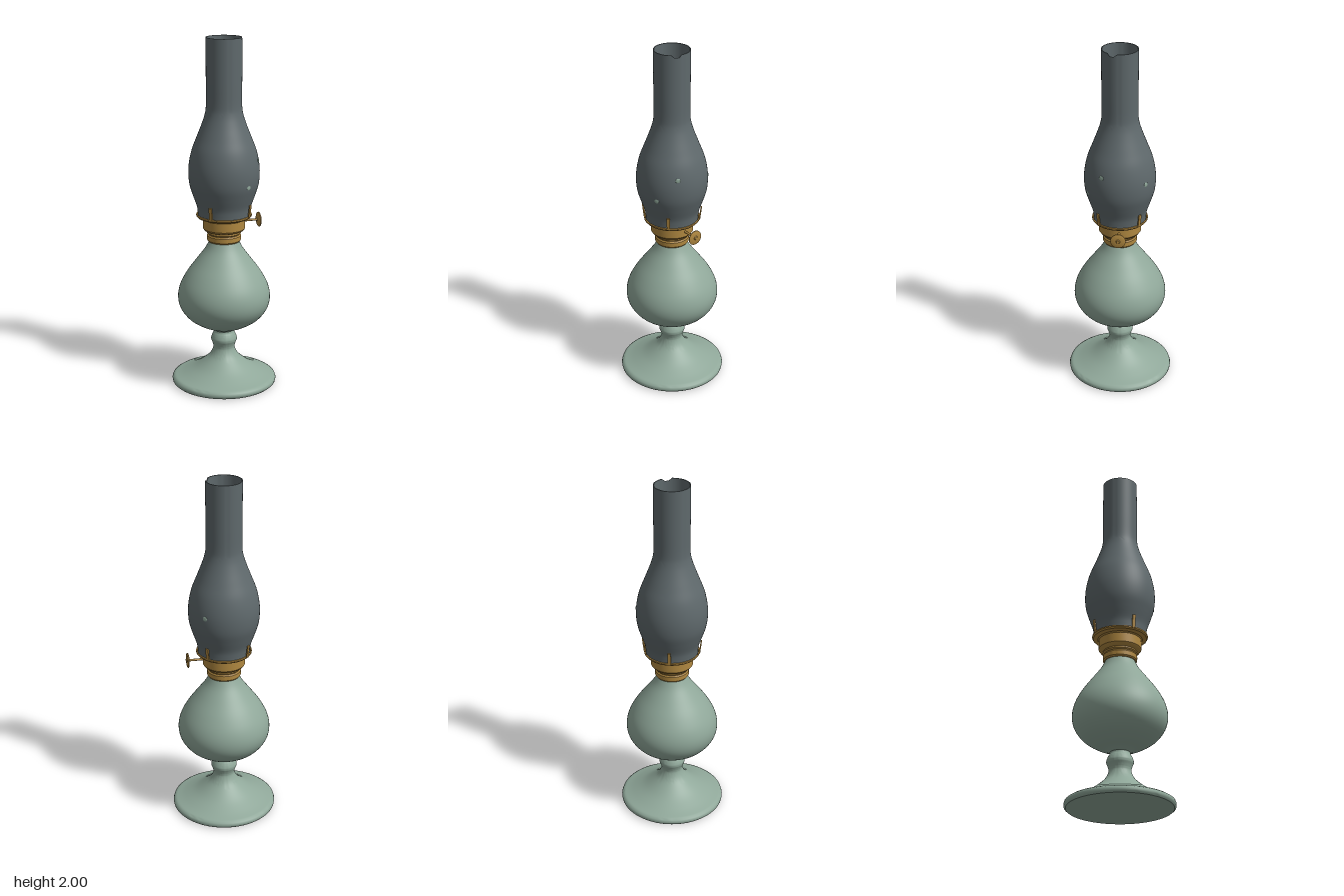
import * as THREE from 'three';
import { toCreasedNormals } from 'three/addons/utils/BufferGeometryUtils.js';

const mat = (name, color, side = THREE.FrontSide) => {
  const m = new THREE.MeshStandardMaterial({ color, side });
  m.name = name;
  return m;
};
const vec = (p) => p.map(([r, y]) => new THREE.Vector2(r, y));
// smooth curve through a few profile points
const smooth = (p, n = 40) => new THREE.SplineCurve(vec(p)).getPoints(n);

export function createModel() {
  const lamp = new THREE.Group();
  lamp.name = 'oilLamp';
  const green = mat('pale green glass', 0x90a89a);
  const smoke = mat('smoky glass', 0x5f696c, THREE.DoubleSide);
  const brass = mat('brass', 0xb08840);
  const deckMat = mat('dark burner deck', 0x3c2b28);
  const domeMat = mat('aged brass', 0x8a6a45);
  const add = (name, geo, material, parent = lamp) => {
    const m = new THREE.Mesh(geo, material);
    m.name = name;
    parent.add(m);
    return m;
  };
  const turned = (p) => new THREE.LatheGeometry(p, 64);
  const metal = (p) => toCreasedNormals(turned(vec(p)), 0.6);

  // Foot with a shallow hollow underneath, and the stem with its bead
  add('foot', toCreasedNormals(turned([
    ...vec([[0, 0.012], [0.2, 0.008], [0.275, 0], [0.29, 0], [0.299, 0.008], [0.301, 0.02], [0.297, 0.032]]),
    ...smooth([[0.285, 0.04], [0.235, 0.058], [0.17, 0.09], [0.115, 0.13], [0.08, 0.165], [0.062, 0.205],
      [0.066, 0.232], [0.075, 0.258], [0.067, 0.285], [0.056, 0.305], [0.058, 0.32]], 44),
  ]), 0.7), green);

  // Oil fount
  add('fount', turned(smooth([[0.055, 0.312], [0.085, 0.33], [0.14, 0.352], [0.205, 0.395], [0.25, 0.455],
    [0.264, 0.52], [0.25, 0.59], [0.21, 0.665], [0.155, 0.74], [0.107, 0.805], [0.082, 0.855]])), green);

  // Brass collar, burner and flared gallery
  add('collar', metal([[0, 0.848], [0.09, 0.848], [0.096, 0.856], [0.096, 0.882], [0.09, 0.889],
    [0.09, 0.892], [0.098, 0.899], [0.096, 0.908], [0.088, 0.914]]), brass);
  add('burner', metal([[0.088, 0.905], [0.112, 0.914], [0.12, 0.925], [0.12, 0.978], [0.126, 0.985],
    [0.15, 0.99], [0.157, 0.998], [0.157, 1.006], [0.15, 1.006], [0.148, 0.996], [0.12, 0.993]]), brass);
  add('burnerDeck', metal([[0.149, 0.998], [0, 0.998]]), deckMat);

  // Domed wick cap with its flat wick
  const dome = add('wickDome', new THREE.SphereGeometry(0.062, 40, 16, 0, Math.PI * 2, 0, Math.PI / 2), domeMat);
  dome.position.y = 0.998;
  const wick = add('wick', new THREE.SphereGeometry(1, 32, 14), brass);
  wick.scale.set(0.048, 0.03, 0.01);
  wick.position.y = 1.045;

  // Four spring prongs holding the chimney
  for (let i = 0; i < 4; i++) {
    const pivot = new THREE.Group();
    pivot.name = 'prong';
    pivot.rotation.y = Math.PI / 4 + i * Math.PI / 2;
    const blade = add('prongBlade', new THREE.BoxGeometry(0.018, 0.076, 0.007), brass, pivot);
    blade.position.set(0, 1.036, 0.161);
    blade.rotation.x = 0.12;
    lamp.add(pivot);
  }

  // Wick winder on the left side
  const winder = new THREE.Group();
  winder.name = 'wickWinder';
  winder.position.y = 0.956;
  winder.rotation.z = -Math.PI / 2;
  lamp.add(winder);
  const rod = add('winderStem', new THREE.CylinderGeometry(0.0065, 0.0065, 0.1, 16), brass, winder);
  rod.position.y = 0.16;
  add('winderKnob', metal([[0, 0.198], [0.012, 0.2], [0.036, 0.202], [0.042, 0.205], [0.042, 0.21],
    [0.036, 0.213], [0.012, 0.214], [0.008, 0.218], [0, 0.218]]), brass, winder);

  // Thin-walled chimney, outside up and inside back down
  const outer = smooth([[0.147, 1.0], [0.149, 1.025], [0.155, 1.06], [0.176, 1.12], [0.194, 1.18], [0.2, 1.245],
    [0.195, 1.31], [0.179, 1.38], [0.152, 1.45], [0.123, 1.525], [0.106, 1.58], [0.1, 1.63],
    [0.1, 1.75], [0.1, 1.9], [0.1, 2.0]], 60);
  const inner = outer.map((p) => new THREE.Vector2(p.x - 0.005, p.y)).reverse();
  const glass = turned([...outer, ...inner]);
  // Small chip out of the rim
  const pos = glass.attributes.position;
  for (let i = 0; i < pos.count; i++) {
    if (pos.getY(i) < 1.995) continue;
    const d = Math.abs(Math.atan2(pos.getZ(i), pos.getX(i)) - 0.4);
    if (d < 0.25) pos.setY(i, 2 - 0.018 * Math.min(1, (0.25 - d) / 0.12));
  }
  add('chimney', toCreasedNormals(glass, 0.9), smoke);

  // Little pale bubbles in the chimney wall
  for (const [x, y, z] of [[0.087, 1.19, 0.174], [0.17, 1.32, 0.092], [0.132, 1.27, -0.148]]) {
    const b = add('bubble', new THREE.SphereGeometry(0.014, 12, 8), green);
    b.position.set(x, y, z);
    b.scale.z = 0.25;
    b.lookAt(0, y, 0);
  }
  return lamp;
}
